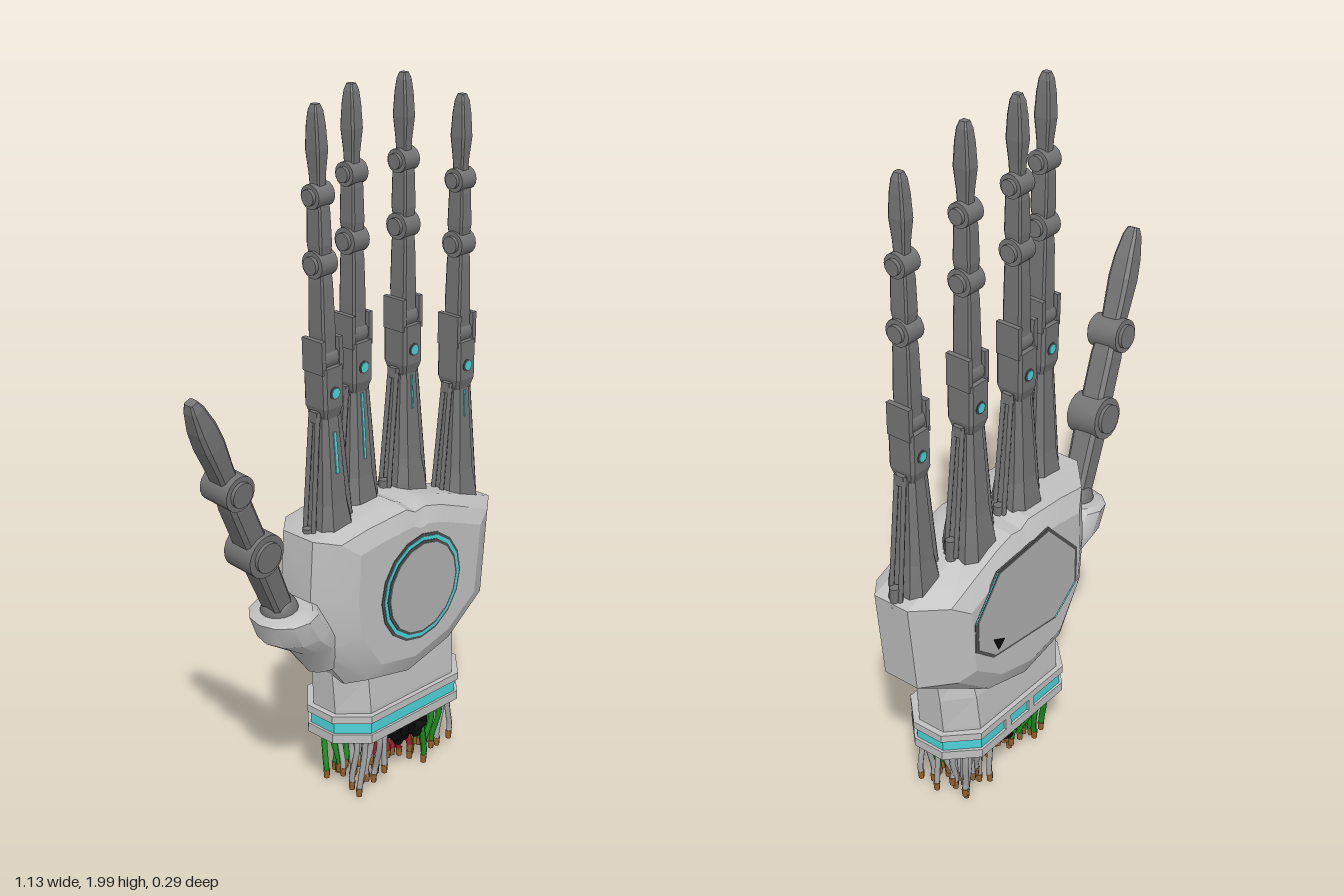
import * as THREE from 'three';
import { toCreasedNormals } from 'three/addons/utils/BufferGeometryUtils.js';

const mat = (name, color) => {
  const m = new THREE.MeshStandardMaterial({ color });
  m.name = name;
  return m;
};

// Closed skin through matching rings of [x, y, z] points, with flat end caps
function loft(rings, crease = 0) {
  const pos = [], n = rings[0].length;
  const tri = (...pts) => pts.forEach((p) => pos.push(...p));
  for (let i = 0; i < rings.length - 1; i++) {
    for (let j = 0; j < n; j++) {
      const k = (j + 1) % n, a = rings[i], b = rings[i + 1];
      tri(a[j], b[j], a[k]);
      tri(a[k], b[j], b[k]);
    }
  }
  const mid = (r) => [0, 1, 2].map((c) => r.reduce((s, p) => s + p[c], 0) / n);
  const lo = rings[0], hi = rings[rings.length - 1];
  for (let j = 0; j < n; j++) {
    const k = (j + 1) % n;
    tri(mid(lo), lo[j], lo[k]);
    tri(mid(hi), hi[k], hi[j]);
  }
  const g = new THREE.BufferGeometry();
  g.setAttribute('position', new THREE.Float32BufferAttribute(pos, 3));
  g.computeVertexNormals();
  return crease ? toCreasedNormals(g, crease) : g;
}

// Upright bar with chamfered corners; sections are [y, halfX, halfZ]
function bar(sections, fx = 0.6, fz = 0.6) {
  return loft(sections.map(([y, a, b]) => [
    [a, -b * fz], [a, b * fz], [a * fx, b], [-a * fx, b],
    [-a, b * fz], [-a, -b * fz], [-a * fx, -b], [a * fx, -b],
  ].map(([x, z]) => [x, y, z])));
}

export function createModel() {
  const shell = mat('lightGreyShell', 0xc0c0c0);
  const panel = mat('greyPanel', 0xb0b0b0);
  const dark = mat('darkGreyMetal', 0x747474);
  const trim = mat('charcoalTrim', 0x505050);
  const glow = mat('cyanLight', 0x4bd3d8);
  const black = mat('black', 0x0a0a0a);
  const wireGrey = mat('greyWire', 0xaaaaaa);
  const red = mat('redWire', 0xa81e2c);
  const green = mat('greenWire', 0x1a8f1e);
  const copper = mat('copper', 0x9a662e);

  const model = new THREE.Group();
  model.name = 'roboticHand';
  const add = (parent, name, geo, material, x = 0, y = 0, z = 0) => {
    const m = new THREE.Mesh(geo, material);
    m.name = name;
    m.position.set(x, y, z);
    parent.add(m);
    return m;
  };
  const pin = (r, len, axis, seg = 16) => {
    const g = new THREE.CylinderGeometry(r, r, len, seg);
    return axis === 'x' ? g.rotateZ(Math.PI / 2) : g.rotateX(Math.PI / 2);
  };
  const rod = (a, b, r) => new THREE.TubeGeometry(
    new THREE.LineCurve3(new THREE.Vector3(...a), new THREE.Vector3(...b)), 1, r, 6);

  // Palm: one outline, shrunk towards the front and the back
  const outline = [[-0.14, 0.855], [-0.02, 0.87], [0.16, 0.88], [0.2, 0.862], [0.25, 0.868],
    [0.33, 0.85], [0.565, 0.77], [0.54, 0.505], [0.38, 0.4], [0.18, 0.355], [-0.02, 0.39],
    [-0.135, 0.54], [-0.15, 0.68]];
  const layers = [[-0.142, 0.64, 0.74], [-0.115, 0.77, 0.95], [-0.04, 1, 1],
    [0.07, 1, 1], [0.117, 0.83, 0.94], [0.138, 0.68, 0.76]];
  add(model, 'palm', loft(layers.map(([z, sx, sy]) => outline.map(([x, y]) =>
    [0.21 + (x - 0.21) * sx, 0.63 + (y - 0.63) * sy, z])), 0.35), shell);

  // Round light on the front of the palm
  [['lightRim', 0.158, trim, 0.137], ['lightRing', 0.15, glow, 0.139],
    ['lightInnerRim', 0.139, trim, 0.141], ['lightCover', 0.131, panel, 0.143],
  ].forEach(([name, r, m, z]) => add(model, name, pin(r, 0.006, 'z', 16), m, 0.21, 0.63, z));

  // Eight-sided cover on the back of the palm, lit along two corners
  const cover = [[0.42, 0.69], [0.33, 0.8], [0.12, 0.82], [0, 0.69], [0, 0.58], [0.09, 0.51],
    [0.35, 0.54], [0.42, 0.6]];
  const plate = (pts, scale, depth) => new THREE.ExtrudeGeometry(new THREE.Shape(
    pts.map(([x, y]) => new THREE.Vector2(0.21 + (x - 0.21) * scale, 0.66 + (y - 0.66) * scale))),
  { depth, bevelEnabled: false });
  add(model, 'backCoverRim', plate(cover, 1.02, 0.006), trim, 0, 0, -0.1435);
  add(model, 'backCover', plate(cover, 0.965, 0.006), panel, 0, 0, -0.145);
  [[0, 1], [4, 5]].forEach(([i, j]) => add(model, 'backCoverLight',
    rod([...cover[i], -0.142], [...cover[j], -0.142], 0.0035), glow));
  add(model, 'backMark', plate([[0.355, 0.6], [0.31, 0.578], [0.335, 0.555]], 1, 0.003), black, 0, 0, -0.147);

  // Wrist and cuff
  const wrist = (name, sections, m) => add(model, name, bar(sections, 0.7, 0.38), m, 0.207, 0, 0.002);
  wrist('wrist', [[0.215, 0.235, 0.11], [0.3, 0.238, 0.112], [0.4, 0.245, 0.105], [0.5, 0.25, 0.08]], shell);
  wrist('cuffTop', [[0.268, 0.255, 0.126], [0.29, 0.255, 0.126]], shell);
  wrist('cuffLight', [[0.23, 0.245, 0.119], [0.27, 0.245, 0.119]], glow);
  wrist('cuffBottom', [[0.205, 0.253, 0.126], [0.232, 0.253, 0.126]], shell);
  wrist('cuffOpening', [[0.2, 0.225, 0.105], [0.208, 0.225, 0.105]], black);
  [0.27, 0.17].forEach((x) => add(model, 'cuffClip', new THREE.BoxGeometry(0.022, 0.045, 0.02), shell, x, 0.25, -0.114));

  // Loose wires with bare ends, in bundles by colour
  let seed = 7;
  const rnd = () => (seed = (seed * 16807) % 2147483647) / 2147483647;
  const spread = (s) => (rnd() - 0.5) * s;
  for (let i = 0; i < 12; i++) {
    for (let j = 0; j < 6; j++) {
      const x = 0.045 + i * 0.032 + spread(0.016), z = -0.07 + j * 0.03 + spread(0.012);
      const centre = i > 3 && i < 8;
      const isBlack = centre && (j === 0 || j === 5 || (i + j) % 2 === 0);
      const isGreen = i > 7 ? i < 11 && j > 2 : j < 2;
      const m = isBlack ? black : centre ? red : isGreen ? green : wireGrey;
      const end = isBlack ? 0.125 + rnd() * 0.02 : 0.025 + rnd() * 0.05;
      const ex = x + spread(0.035), ez = z * 0.85 + spread(0.03);
      const pts = [[x, 0.21, z], [x + spread(0.015), 0.15, z + spread(0.015)],
        [ex, end + 0.02, ez], [ex + spread(0.012), end, ez]].map((p) => new THREE.Vector3(...p));
      const r = isBlack ? 0.018 : 0.0085;
      add(model, 'wire', new THREE.TubeGeometry(new THREE.CatmullRomCurve3(pts), 8, r, 6), m);
      const e = pts[3];
      if (isBlack) add(model, 'wireEnd', new THREE.SphereGeometry(r, 6, 4), black, e.x, end, e.z);
      else add(model, 'wireEnd', new THREE.CylinderGeometry(0.01, 0.008, 0.026, 6), copper, e.x, end - 0.006, e.z);
    }
  }

  // Fingers, measured from the pivot light: x, y, z, tilt, then light strip bottom, top and width
  const fingers = [['indexFinger', -0.048, 1.242, 0.02, 0.038, -0.225, -0.11, 0.01],
    ['middleFinger', 0.113, 1.258, -0.033, 0.014, -0.26, -0.075, 0.008],
    ['ringFinger', 0.308, 1.258, -0.035, 0.014, -0.17, -0.075, 0.005],
    ['littleFinger', 0.475, 1.183, 0.012, 0.004, -0.15, -0.075, 0.006]];
  for (const [name, x, y, z, tilt, s0, s1, width] of fingers) {
    const f = new THREE.Group();
    f.name = name;
    f.position.set(x, y, z);
    f.rotation.z = tilt;
    model.add(f);
    add(f, 'column', bar([[-0.46, 0.066, 0.064], [-0.38, 0.056, 0.056], [-0.31, 0.044, 0.046],
      [-0.05, 0.028, 0.03]]), dark);
    const slope = 0.016 / 0.26, sy = (s0 + s1) / 2;
    const strip = add(f, 'columnLight', new THREE.BoxGeometry(width, s1 - s0, 0.006), glow,
      0, sy, 0.03 + (-0.05 - sy) * slope);
    strip.rotation.x = -Math.atan(slope);
    add(f, 'pivotBlock', bar([[-0.07, 0.027, 0.032], [-0.04, 0.035, 0.041], [0.07, 0.035, 0.041]], 0.8, 0.8), dark);
    add(f, 'pivotRim', pin(0.018, 0.085, 'z'), trim);
    add(f, 'pivotLight', pin(0.0135, 0.089, 'z'), glow);
    for (const s of [-1, 1]) {
      add(f, 'forkCheek', new THREE.BoxGeometry(0.014, 0.09, 0.072), dark, s * 0.031, 0.1, 0);
      add(f, 'ear', new THREE.BoxGeometry(0.02, 0.03, 0.03), dark, s * 0.034, -0.065, 0);
      add(f, 'rodFoot', new THREE.CylinderGeometry(0.014, 0.014, 0.06, 8), dark, s * 0.074, -0.4, 0);
      for (const t of [-1, 1]) {
        add(f, 'tendonRod', rod([s * 0.036, -0.05, t * 0.012], [s * 0.073, -0.42, t * 0.016], 0.007), dark);
      }
    }
    add(f, 'forkPin', pin(0.034, 0.05, 'x'), dark, 0, 0.09, 0);
    add(f, 'lowerBone', bar([[0.06, 0.024, 0.027], [0.17, 0.024, 0.029], [0.29, 0.021, 0.027],
      [0.34, 0.018, 0.022]], 0.8, 0.8), dark);
    add(f, 'middleBone', bar([[0.34, 0.018, 0.02], [0.39, 0.022, 0.027], [0.48, 0.02, 0.025],
      [0.515, 0.016, 0.02]], 0.8, 0.8), dark);
    add(f, 'fingertip', bar([[0.515, 0.013, 0.016], [0.57, 0.015, 0.019], [0.63, 0.02, 0.025],
      [0.69, 0.018, 0.021], [0.725, 0.015, 0.016], [0.742, 0.009, 0.01]], 0.75, 0.75), dark);
    [[0.34, 0.036], [0.515, 0.032]].forEach(([h, r]) => {
      add(f, 'knuckle', pin(r, 0.056, 'x'), dark, 0, h, 0);
      add(f, 'knucklePin', pin(r * 0.65, 0.076, 'x'), dark, 0, h, 0);
    });
  }

  // Thumb socket: rings of [y, left x, right x, half depth]
  const socket = [[0.46, -0.115, 0.01, 0.05], [0.545, -0.18, -0.03, 0.08], [0.6, -0.27, -0.07, 0.1],
    [0.665, -0.295, -0.12, 0.1], [0.675, -0.28, -0.135, 0.085]];
  add(model, 'thumbSocket', loft(socket.map(([y, l, r, d]) => Array.from({ length: 12 }, (_, i) => {
    const t = (i / 12) * Math.PI * 2, c = Math.cos(t);
    return [(l + r) / 2 + (c * (r - l)) / 2, y + c * 0.01, 0.028 + Math.sin(t) * d];
  })), 0.6), shell);

  // Thumb
  const thumb = new THREE.Group();
  thumb.name = 'thumb';
  thumb.position.set(-0.21, 0.66, 0.02);
  thumb.quaternion.setFromUnitVectors(new THREE.Vector3(0, 1, 0),
    new THREE.Vector3(-0.345, 0.7, 0.065).normalize());
  model.add(thumb);
  add(thumb, 'thumbBall', new THREE.SphereGeometry(0.052, 16, 10), dark, 0, 0.01, 0);
  add(thumb, 'thumbLowerBone', bar([[0, 0.03, 0.034], [0.18, 0.034, 0.038], [0.25, 0.034, 0.038]], 0.7, 0.7), dark);
  add(thumb, 'thumbMiddleBone', bar([[0.25, 0.034, 0.036], [0.42, 0.034, 0.036], [0.485, 0.03, 0.03]], 0.7, 0.7), dark);
  add(thumb, 'thumbTip', bar([[0.485, 0.025, 0.028], [0.56, 0.027, 0.032], [0.64, 0.032, 0.034],
    [0.7, 0.03, 0.03], [0.76, 0.02, 0.022], [0.782, 0.012, 0.014]], 0.7, 0.7), dark);
  [[0.25, 0.06], [0.485, 0.048]].forEach(([h, r]) => {
    add(thumb, 'thumbKnuckle', pin(r, 0.095, 'z', 18), dark, 0, h, 0);
    add(thumb, 'thumbKnucklePin', pin(r * 0.7, 0.115, 'z', 18), dark, 0, h, 0);
  });
  return model;
}
